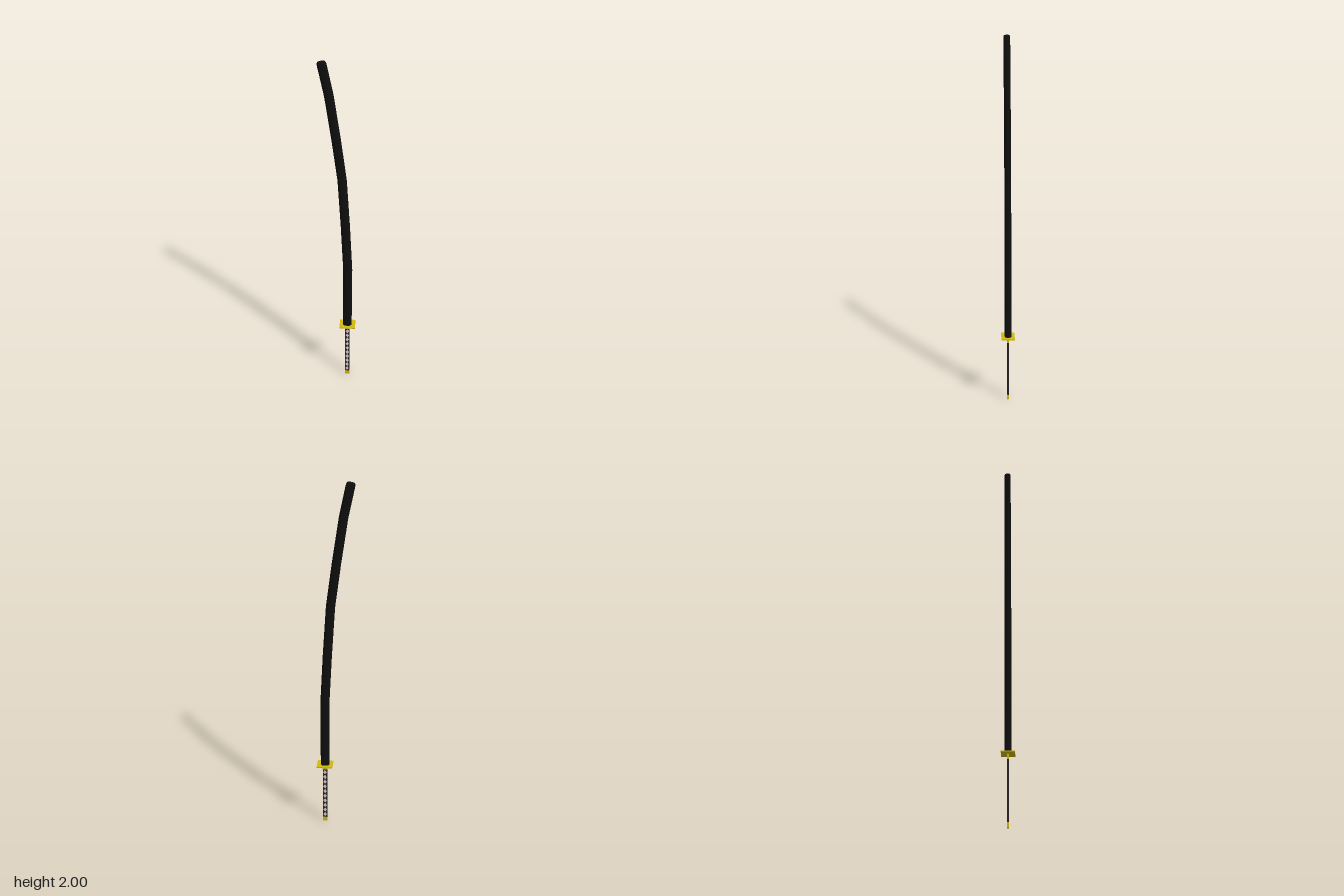
import * as THREE from 'three';

const black = new THREE.MeshStandardMaterial({ name: 'black lacquer', color: 0x0f0f0f });
const gold = new THREE.MeshStandardMaterial({ name: 'gold', color: 0xd2ba10 });
const wrap = new THREE.MeshStandardMaterial({ name: 'dark wrap', color: 0x2a2224 });
const pale = new THREE.MeshStandardMaterial({ name: 'pale rayskin', color: 0xd6cfcf });

const AXIS = 0.056; // x of the straight handle

function add(parent, name, geometry, material, x, y, z) {
  const mesh = new THREE.Mesh(geometry, material);
  mesh.name = name;
  mesh.position.set(x, y, z);
  parent.add(mesh);
  return mesh;
}

// Curved sheath: a cylinder whose rows follow a path with a rounded-slot section
function sheathGeometry() {
  // x, y, section scale, lean (dx/dy), from the tip down
  const path = [
    [-0.079, 1.994, 0.72, -0.2],
    [-0.078, 1.989, 0.9, -0.2],
    [-0.076, 1.98, 0.95, -0.2],
    [-0.043, 1.82, 0.95, -0.17],
    [-0.008, 1.58, 0.96, -0.14],
    [0.023, 1.34, 0.97, -0.09],
    [0.041, 1.05, 0.99, -0.06],
    [0.055, 0.77, 1, -0.03],
    [0.055, 0.383, 1, 0],
  ];
  const rows = path.length - 1;
  const geometry = new THREE.CylinderGeometry(1, 1, 1, 24, rows);
  const pos = geometry.attributes.position;
  for (let i = 0; i < pos.count; i++) {
    const [cx, cy, scale, lean] = path[Math.round((0.5 - pos.getY(i)) * rows)];
    const px = pos.getX(i);
    const side = THREE.MathUtils.clamp(px * 8, -1, 1);
    const across = (px * 0.0185 + side * 0.0062) * scale;
    const length = Math.hypot(1, lean);
    pos.setXYZ(i, cx + across / length, cy - (across * lean) / length, pos.getZ(i) * 0.0183 * scale);
  }
  geometry.computeVertexNormals();
  return geometry;
}

export function createModel() {
  const model = new THREE.Group();
  model.name = 'sheathedSword';

  add(model, 'sheath', sheathGeometry(), black, 0, 0, 0);
  add(model, 'guard', new THREE.BoxGeometry(0.088, 0.005, 0.073), gold, AXIS, 0.381, 0);

  // Flat handle with gold fittings at both ends
  const handle = new THREE.Group();
  handle.name = 'handle';
  handle.position.x = AXIS;
  model.add(handle);
  add(handle, 'grip', new THREE.BoxGeometry(0.025, 0.325, 0.008), wrap, 0, 0.1875, 0);
  add(handle, 'pommel', new THREE.BoxGeometry(0.026, 0.026, 0.009), gold, 0, 0.013, 0);
  add(handle, 'collar', new THREE.BoxGeometry(0.026, 0.031, 0.009), gold, 0, 0.364, 0);

  // Row of pale diamonds between the wraps, on both faces
  const count = 10;
  const step = 0.318 / count;
  const diamond = new THREE.Shape([
    new THREE.Vector2(0, -step * 0.48),
    new THREE.Vector2(0.0105, 0),
    new THREE.Vector2(0, step * 0.48),
    new THREE.Vector2(-0.0105, 0),
  ]);
  const diamondGeometry = new THREE.ShapeGeometry(diamond);
  for (const face of [1, -1]) {
    for (let i = 0; i < count; i++) {
      const plate = add(handle, 'gripDiamond', diamondGeometry, pale, 0, 0.029 + step * (i + 0.5), face * 0.0045);
      if (face < 0) plate.rotation.y = Math.PI;
    }
  }
  return model;
}
